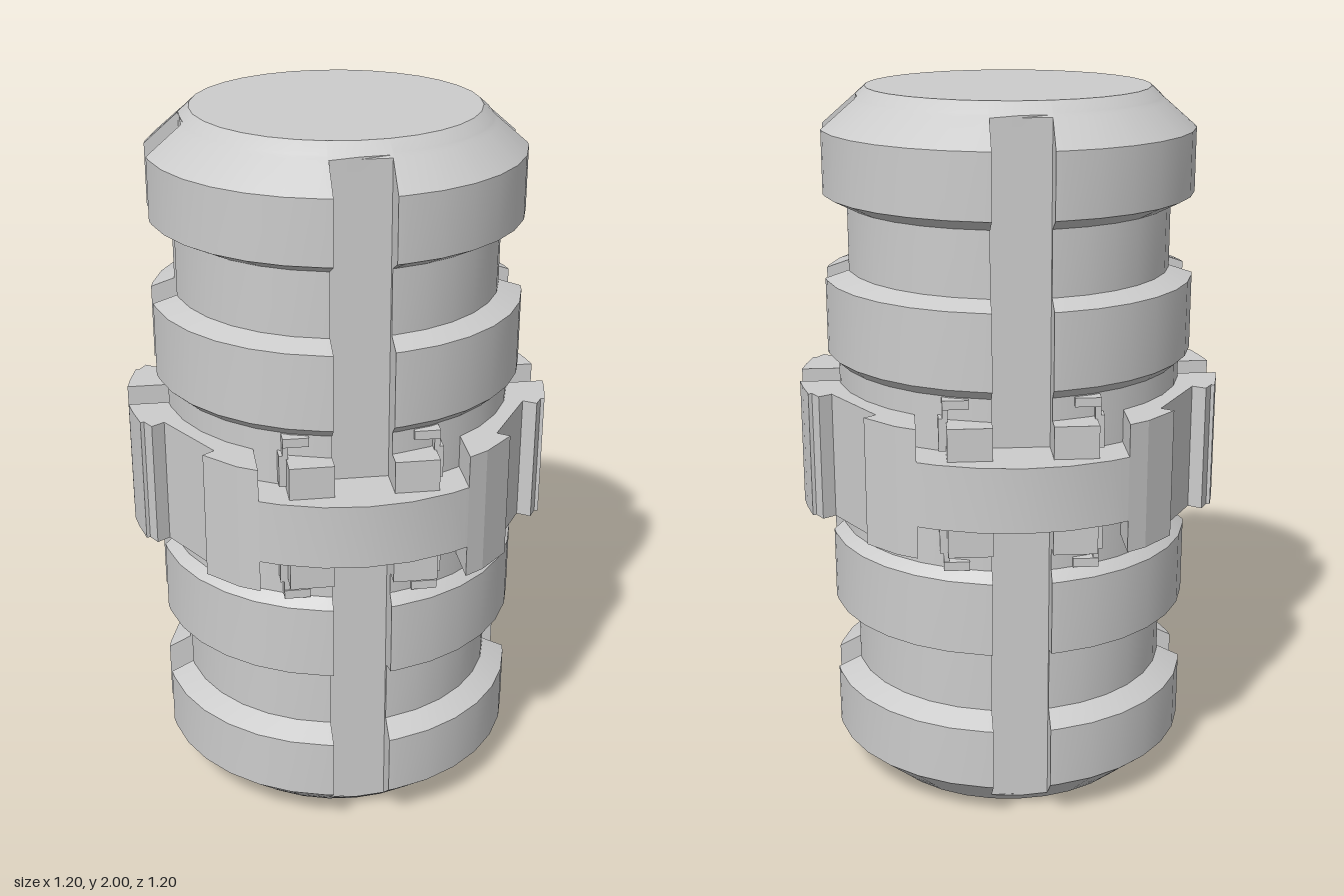
import * as THREE from 'three';
import { toCreasedNormals } from 'three/addons/utils/BufferGeometryUtils.js';

const STEP = Math.PI / 16; // 32-sided rounds
const material = new THREE.MeshStandardMaterial({ color: 0xcccccc });

// Lengthwise slots: half width and distance of the flat floor from the axis
const FRONT = { half: 0.08, floor: 0.43 };
const SIDE = { half: 0.07, floor: 0.42 };

// Point at a given radius on the shared 32-sided angles, measured from +z
const polar = (r, k) => [r * Math.sin(k * STEP), r * Math.cos(k * STEP)];

// Slotted circular cross-section as [x, z] points, starting on +z
function section(r) {
  const slotEdge = (s) => {
    const half = Math.min(s.half, r);
    const reach = Math.sqrt(r * r - half * half);
    return { half, top: reach, bottom: Math.min(s.floor, reach) };
  };
  const f = slotEdge(FRONT), s = slotEdge(SIDE);
  const q = [[0, Math.min(FRONT.floor, r)], [f.half, f.bottom], [f.half, f.top]];
  for (let k = 1; k < 8; k++) q.push(polar(r, k));
  q.push([s.top, s.half], [s.bottom, s.half], [Math.min(SIDE.floor, r), 0]);
  const back = [...q].reverse();
  return [
    ...q,
    ...back.slice(1).map(([x, z]) => [x, -z]),
    ...q.slice(1).map(([x, z]) => [-x, -z]),
    ...back.slice(1).map(([x, z]) => [-x, z]),
  ];
}

// Skin a stack of cross-sections given as [radius, y]
function loft(profile) {
  const positions = [], index = [];
  let n = 0;
  for (const [r, y] of profile) {
    const loop = section(r);
    n = loop.length;
    for (const [x, z] of loop) positions.push(x, y, z);
  }
  for (let j = 0; j < profile.length - 1; j++) {
    for (let i = 0; i < n - 1; i++) {
      const a = j * n + i, b = a + n;
      index.push(a, a + 1, b + 1, a, b + 1, b);
    }
  }
  const g = new THREE.BufferGeometry();
  g.setAttribute('position', new THREE.Float32BufferAttribute(positions, 3));
  g.setIndex(index);
  return toCreasedNormals(g, 0.45);
}

// Extrude an [x, z] outline upwards between two heights
function slab(points, y0, y1) {
  const shape = new THREE.Shape(points.map(([x, z]) => new THREE.Vector2(x, -z)));
  const g = new THREE.ExtrudeGeometry(shape, { depth: y1 - y0, bevelEnabled: false });
  g.rotateX(-Math.PI / 2).translate(0, y0, 0);
  return toCreasedNormals(g, 0.25);
}

// Box from its minimum and maximum corners
function block(x0, x1, y0, y1, z0, z1) {
  return new THREE.BoxGeometry(x1 - x0, y1 - y0, z1 - z0)
    .translate((x0 + x1) / 2, (y0 + y1) / 2, (z0 + z1) / 2);
}

export function createModel() {
  const model = new THREE.Group();
  const add = (parent, name, geometry) => {
    const mesh = new THREE.Mesh(geometry, material);
    mesh.name = name;
    parent.add(mesh);
  };

  // Ribbed body, lower half profile mirrored to the upper half
  const lower = [
    [0, 0], [0.395, 0], [0.42, 0.022], [0.426, 0.028], [0.43, 0.032], [0.4375, 0.038],
    [0.52, 0.11], [0.52, 0.285], [0.455, 0.318], [0.455, 0.498],
    [0.52, 0.52], [0.52, 0.73], [0.49, 0.757],
  ];
  const upper = [...lower].reverse().map(([r, y]) => [r, 2 - y]);
  add(model, 'body', loft([...lower, ...upper]));

  // Collar quarter: thick outer pads joined by a flat, with small steps at the ends
  const inner = [2, 3, 4, 5, 6, 7].map((k) => polar(0.475, k)).reverse();
  const quarter = [
    [0.28, 0.39], [0.28, 0.53], polar(0.6, 3), [0.415, 0.418], [0.383, 0.395],
    [0.505, 0.197], [0.54, 0.22], [0.56, 0.187], [0.57, 0.19], polar(0.6, 7),
    [0.598, 0.063], [0.45, 0.063], ...inner.slice(0, 4),
  ];

  // Narrow bridge across the front slot
  const half = [[0, 0.6], polar(0.6, 1), polar(0.6, 2), [0.28, 0.53], [0.28, 0.39], [0.08, 0.43]];
  const bridge = [...half, ...half.slice(1).reverse().map(([x, z]) => [-x, z])];

  const collar = new THREE.Group();
  collar.name = 'collar';
  model.add(collar);

  for (const sz of [1, -1]) {
    add(collar, 'slotBridge', slab(bridge.map(([x, z]) => [x, z * sz]), 0.91, 1.09));
    for (const sx of [1, -1]) {
      add(collar, 'collarQuarter', slab(quarter.map(([x, z]) => [x * sx, z * sz]), 0.82, 1.18));

      for (const sy of [1, -1]) {
        // Corner lug with its small hooked clip, above and below the bridge
        const mirrored = (x0, x1, y0, y1, z0, z1) => {
          const xs = [x0 * sx, x1 * sx].sort((a, b) => a - b);
          const ys = [1 + y0 * sy, 1 + y1 * sy].sort((a, b) => a - b);
          const zs = [z0 * sz, z1 * sz].sort((a, b) => a - b);
          return block(...xs, ...ys, ...zs);
        };
        add(collar, 'lug', mirrored(0.08, 0.2, 0.09, 0.18, 0.42, 0.535));
        add(collar, 'clipPost', mirrored(0.2, 0.22, 0.1, 0.19, 0.42, 0.475));
        add(collar, 'clipStem', mirrored(0.195, 0.21, 0.17, 0.235, 0.42, 0.475));
        add(collar, 'clipHook', mirrored(0.14, 0.21, 0.215, 0.24, 0.42, 0.48));
      }
    }
  }

  // Paired bars across each side slot
  for (const sx of [1, -1]) {
    for (const y of [0.92, 1.09]) {
      const bar = block(0.415, 0.545, y - 0.02, y + 0.02, -0.055, 0.055);
      add(collar, 'slotBar', bar.translate(sx < 0 ? -0.96 : 0, 0, 0));
      // Thin pegs fixing the bar to the collar
      const peg = block(0.46, 0.52, y - 0.012, y + 0.012, -0.07, 0.07);
      add(collar, 'barPeg', peg.translate(sx < 0 ? -0.98 : 0, 0, 0));
    }
  }
  return model;
}
